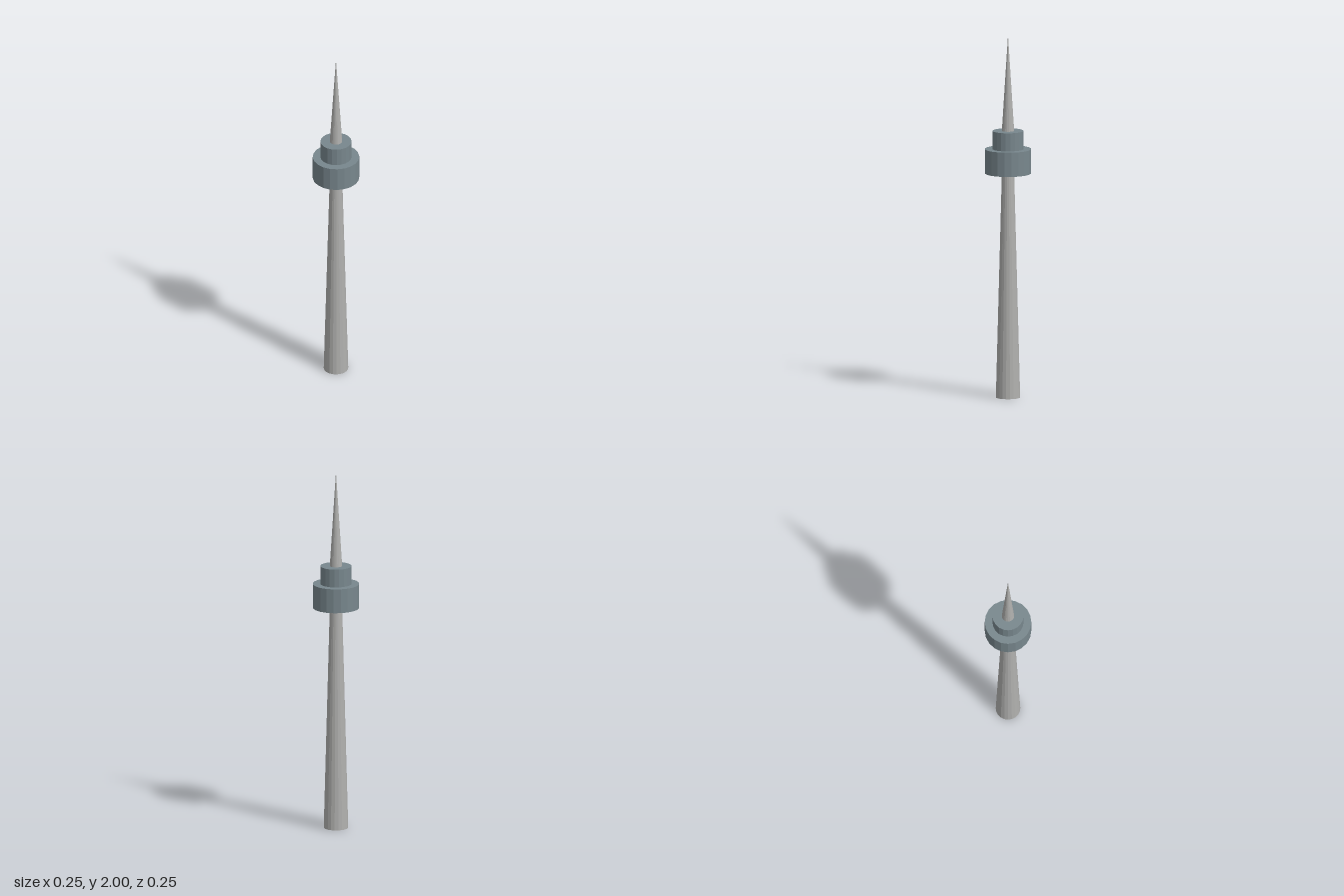
import * as THREE from 'three';

const SIDES = 20;

export function createModel() {
  const group = new THREE.Group();
  const concrete = new THREE.MeshStandardMaterial({ color: 0xb0b0ae });
  concrete.name = 'concrete grey';
  const cladding = new THREE.MeshStandardMaterial({ color: 0x78878d });
  cladding.name = 'slate blue';

  // Faceted round section standing between two heights
  function section(name, bottomRadius, topRadius, y0, y1, material) {
    const geometry = new THREE.CylinderGeometry(topRadius, bottomRadius, y1 - y0, SIDES).toNonIndexed();
    geometry.computeVertexNormals();
    geometry.translate(0, (y0 + y1) / 2, 0);
    const mesh = new THREE.Mesh(geometry, material);
    mesh.name = name;
    group.add(mesh);
  }

  section('shaft', 0.067, 0.034, 0, 1.236, concrete);
  section('observationDeck', 0.127, 0.127, 1.236, 1.37, cladding);
  section('upperDeck', 0.085, 0.085, 1.37, 1.47, cladding);
  section('spire', 0.034, 0, 1.47, 2, concrete);

  return group;
}
